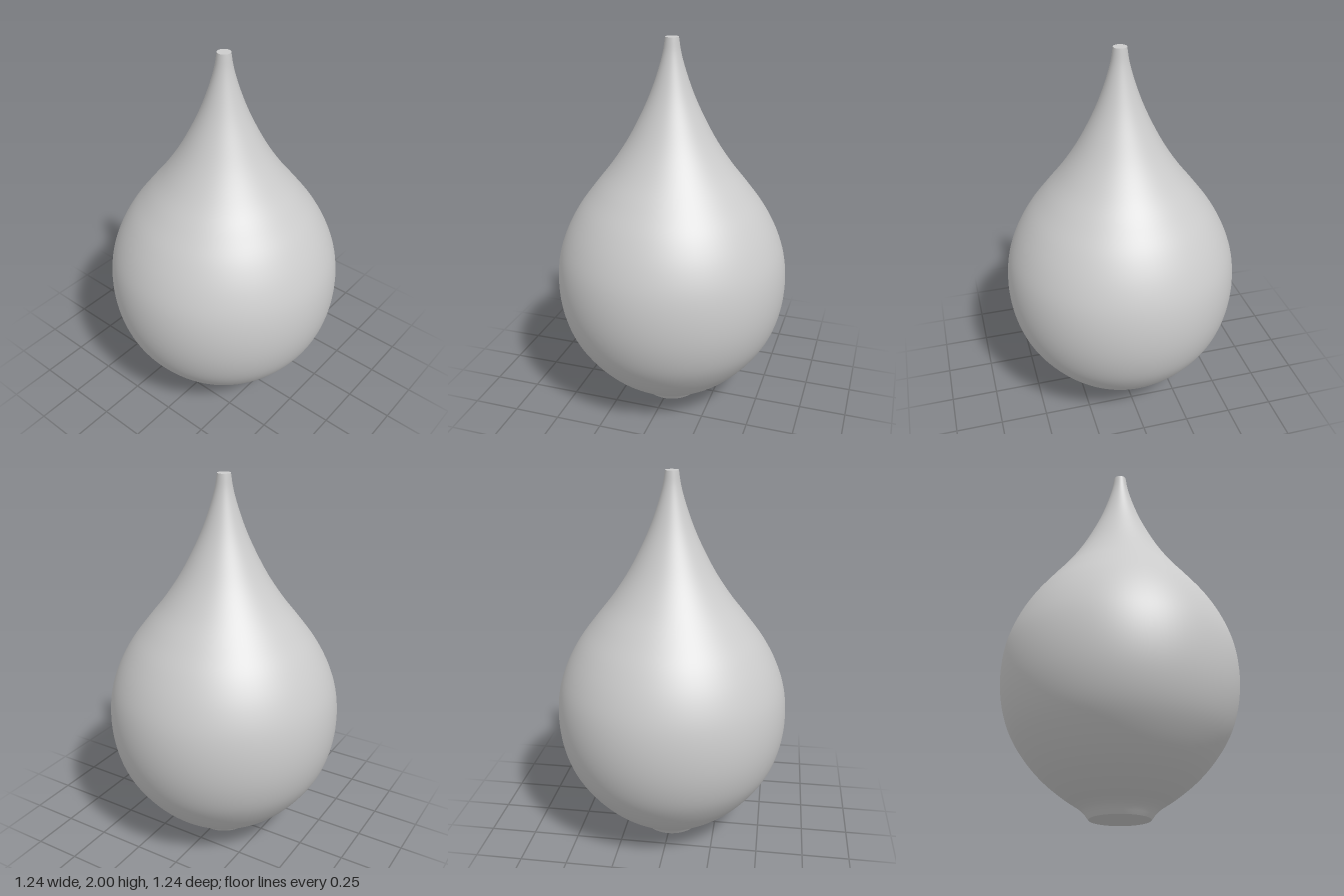
import * as THREE from 'three';

export function createModel() {
  const model = new THREE.Group();
  const grey = new THREE.MeshStandardMaterial({ color: 0xcccccc });
  grey.name = 'light grey';

  const add = (name, geometry) => {
    const mesh = new THREE.Mesh(geometry, grey);
    mesh.name = name;
    model.add(mesh);
    return mesh;
  };

  // Teardrop profile as [radius, height], from the foot to the tip
  const profile = [
    [0.153, 0], [0.19, 0.045], [0.285, 0.11], [0.395, 0.2], [0.487, 0.305],
    [0.56, 0.425], [0.604, 0.565], [0.618, 0.715], [0.603, 0.86], [0.56, 0.99],
    [0.493, 1.115], [0.405, 1.235], [0.315, 1.35], [0.235, 1.47], [0.17, 1.59],
    [0.115, 1.71], [0.072, 1.83], [0.046, 1.925], [0.034, 2],
  ].map(([r, y]) => new THREE.Vector3(r, y, 0));
  const curve = new THREE.CatmullRomCurve3(profile);
  const points = curve.getPoints(90).map((p) => new THREE.Vector2(p.x, p.y));
  add('body', new THREE.LatheGeometry(points, 96));

  // Flat ends, separate so their rims stay sharp
  const tip = add('tipCap', new THREE.CircleGeometry(0.034, 96));
  tip.rotation.x = -Math.PI / 2;
  tip.position.y = 2;
  const foot = add('footCap', new THREE.CircleGeometry(0.153, 96));
  foot.rotation.x = Math.PI / 2;

  return model;
}
